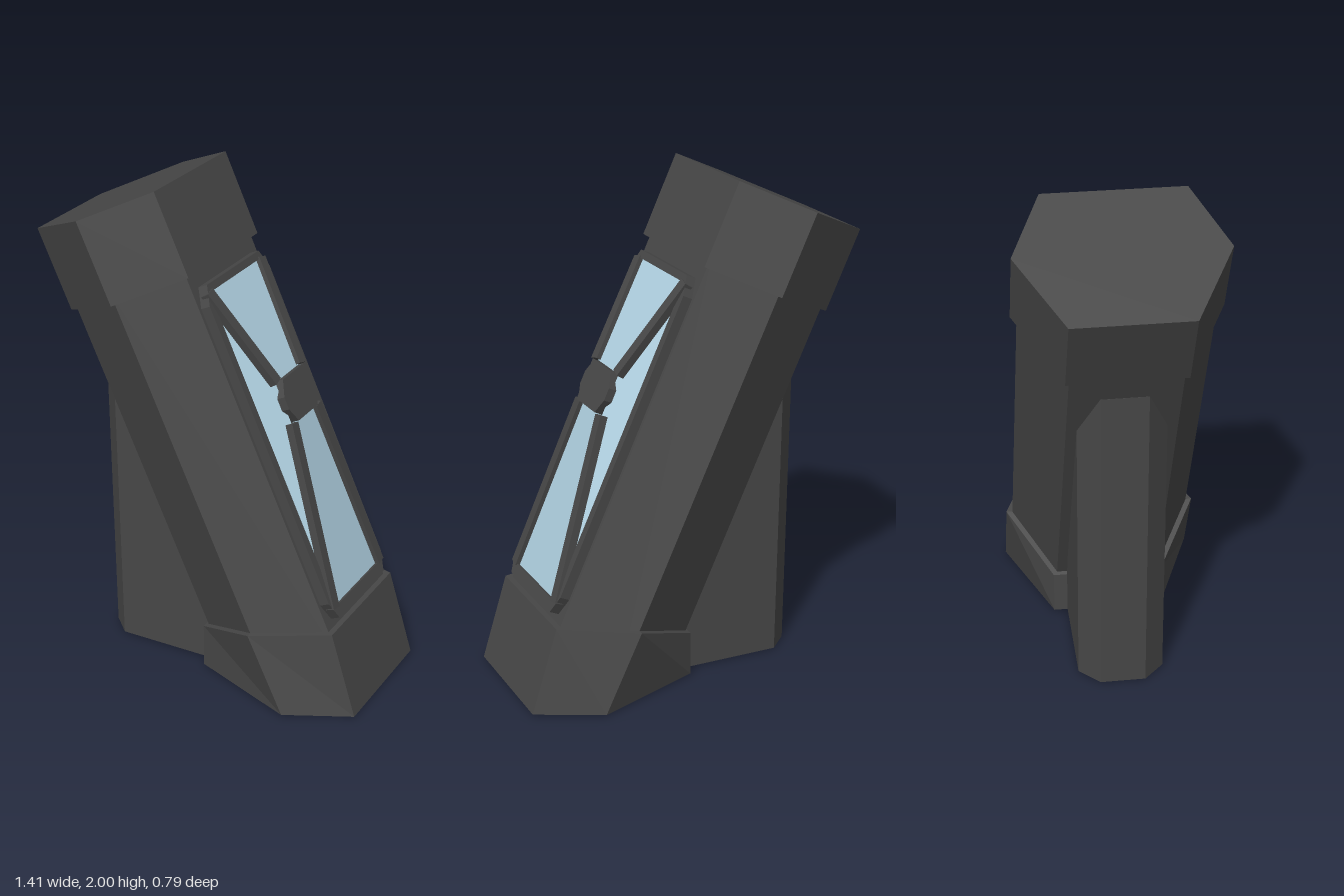
import * as THREE from 'three';

const TILT = THREE.MathUtils.degToRad(24.6);

// Six-sided solid between two rings; each ring is [back, middle, front] as [x, y, halfWidth].
function hexSolid(low, high) {
  const ring = (h) => [...h.map(([x, y, z]) => [x, y, -z]), ...[...h].reverse().map(([x, y, z]) => [x, y, z])];
  const a = ring(low), b = ring(high), pos = [];
  const quad = (p, q, r, s) => pos.push(...p, ...q, ...r, ...p, ...r, ...s);
  for (let i = 0; i < 6; i++) {
    const j = (i + 1) % 6;
    quad(a[i], b[i], b[j], a[j]);
  }
  // each end is two quads folded along the middle line
  quad(a[0], a[1], a[4], a[5]);
  quad(a[1], a[2], a[3], a[4]);
  quad(b[5], b[4], b[1], b[0]);
  quad(b[4], b[3], b[2], b[1]);
  return fromPositions(pos);
}

function fromPositions(pos) {
  const g = new THREE.BufferGeometry();
  g.setAttribute('position', new THREE.Float32BufferAttribute(pos, 3));
  g.computeVertexNormals();
  return g;
}

// Rectangle outline with cut corners
function octagon(hw, y0, y1, cx, cy) {
  return new THREE.Shape([
    [-hw + cx, y0], [hw - cx, y0], [hw, y0 + cy], [hw, y1 - cy],
    [hw - cx, y1], [-hw + cx, y1], [-hw, y1 - cy], [-hw, y0 + cy],
  ].map(([x, y]) => new THREE.Vector2(x, y)));
}

export function createModel() {
  const model = new THREE.Group();
  const dark = new THREE.MeshStandardMaterial({ color: 0x474747 });
  dark.name = 'dark metal';
  const blue = new THREE.MeshStandardMaterial({ color: 0xafd0e0 });
  blue.name = 'pale blue glass';
  const add = (parent, name, geo, mat = dark) => {
    const m = new THREE.Mesh(geo, mat);
    m.name = name;
    parent.add(m);
    return m;
  };

  // Foot, flat on the ground with a tilted top
  add(model, 'foot', hexSolid(
    [[0.01, 0, 0.225], [0.45, 0, 0.395], [0.705, 0, 0.27]],
    [[0.01, 0.18, 0.225], [0.3, 0.315, 0.395], [0.6, 0.34, 0.27]]));

  // Upright rear support with chamfered back edges
  add(model, 'rearSupport', hexSolid(
    [[-0.48, 0, 0.09], [-0.4, 0, 0.17], [0.06, 0, 0.17]],
    [[-0.5, 1.33, 0.09], [-0.42, 1.33, 0.17], [-0.3, 1.33, 0.17]]));

  // Leaning column and cap
  const leaning = new THREE.Group();
  leaning.name = 'leaningColumn';
  leaning.rotation.z = TILT;
  model.add(leaning);
  const prism = (pts, y0, y1) => hexSolid(
    pts.map(([x, z]) => [x, y0, z]), pts.map(([x, z]) => [x, y1, z]));
  add(leaning, 'column', prism([[0.1, 0.21], [0.402, 0.37], [0.665, 0.252]], -0.05, 1.6));
  add(leaning, 'cap', prism([[0.083, 0.225], [0.4, 0.395], [0.686, 0.27]], 1.545, 1.885));

  // Raised window: x across, y along the column, z outward
  const win = new THREE.Group();
  win.name = 'window';
  win.rotation.y = Math.PI / 2;
  win.position.x = 0.665;
  leaning.add(win);

  // Border frame
  const border = octagon(0.238, 0.1, 1.49, 0.035, 0.075);
  border.holes.push(new THREE.Path([[-0.203, 0.145], [-0.203, 1.46], [0.203, 1.46], [0.203, 0.145]]
    .map(([x, y]) => new THREE.Vector2(x, y))));
  add(win, 'windowFrame', new THREE.ExtrudeGeometry(border, { depth: 0.04, bevelEnabled: false }));

  // Four sloping panes
  const corners = (hw, y0, y1, z) => [[-hw, y0, z], [hw, y0, z], [hw, y1, z], [-hw, y1, z]];
  const outer = corners(0.205, 0.143, 1.462, 0.028);
  const inner = corners(0.1, 0.87, 1.04, 0.093);
  const panes = [];
  for (let i = 0; i < 4; i++) {
    const j = (i + 1) % 4;
    panes.push(...outer[i], ...outer[j], ...inner[j], ...outer[i], ...inner[j], ...inner[i]);
  }
  add(win, 'panes', fromPositions(panes), blue);

  // Ribs from the frame corners to the centre plate
  for (let i = 0; i < 4; i++) {
    const a = new THREE.Vector3(...outer[i]), b = new THREE.Vector3(...inner[i]);
    const dir = b.clone().sub(a);
    const length = dir.length();
    dir.normalize();
    const side = dir.clone().cross(new THREE.Vector3(0, 0, 1)).normalize();
    const up = side.clone().cross(dir);
    const rib = add(win, 'rib', new THREE.BoxGeometry(0.045, length, 0.035));
    rib.quaternion.setFromRotationMatrix(new THREE.Matrix4().makeBasis(side, dir, up));
    rib.position.copy(a).add(b).multiplyScalar(0.5);
  }

  // Centre plate
  const plate = add(win, 'centrePlate', new THREE.ExtrudeGeometry(
    octagon(0.115, 0.87, 1.04, 0.035, 0.06), { depth: 0.045, bevelEnabled: false }));
  plate.position.z = 0.072;

  return model;
}
